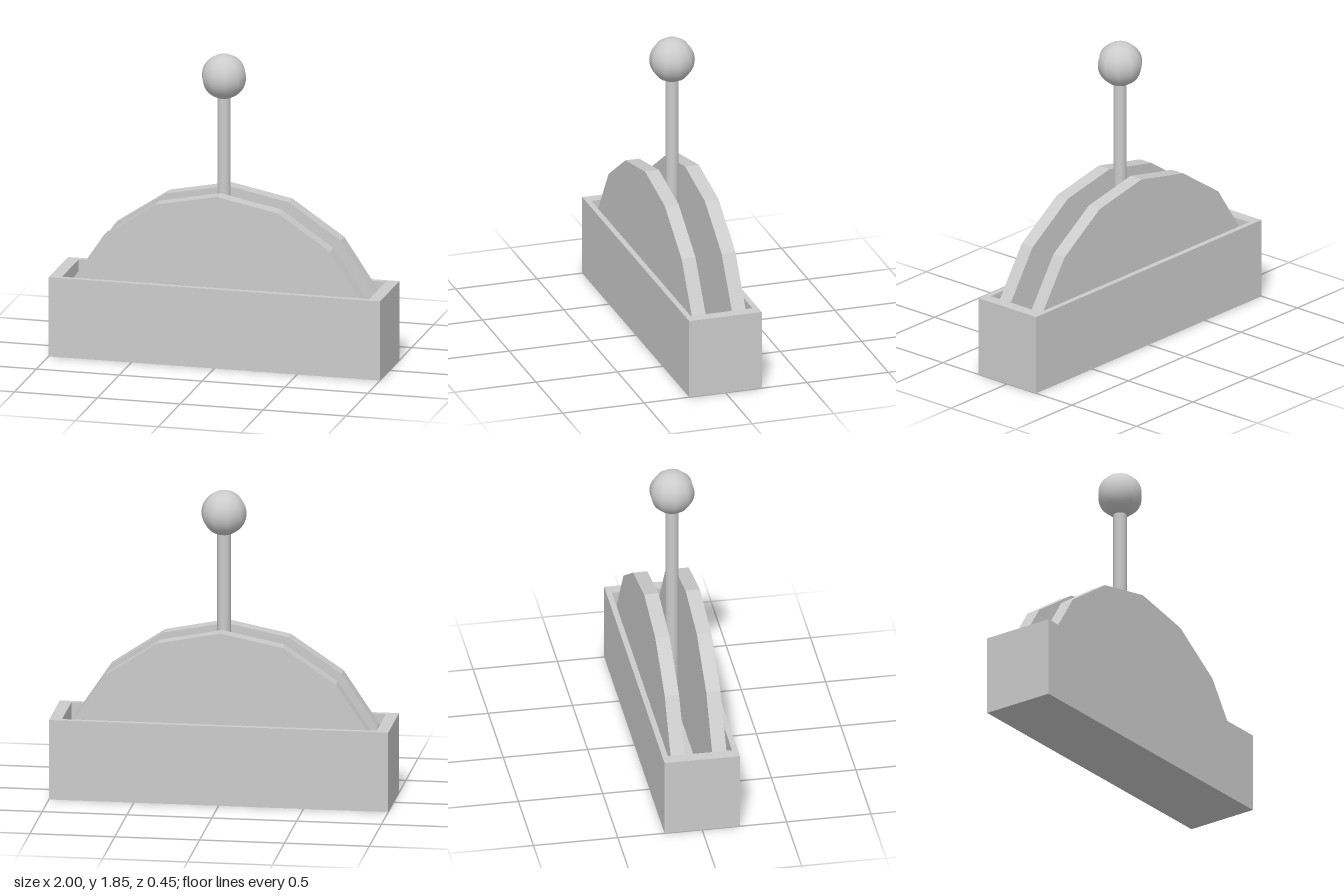
import * as THREE from 'three';

export function createModel() {
  const group = new THREE.Group();
  const material = new THREE.MeshStandardMaterial({ color: 0xcccccc });

  const add = (name, geometry, x = 0, y = 0, z = 0) => {
    const mesh = new THREE.Mesh(geometry, material);
    mesh.name = name;
    mesh.position.set(x, y, z);
    group.add(mesh);
    return mesh;
  };

  const floorY = 0.06, rimY = 0.48;
  const outer = { x: 1, z: 0.223 }, inner = { x: 0.927, z: 0.19 };
  const rectangle = (Type, { x, z }) => new Type([
    new THREE.Vector2(-x, -z), new THREE.Vector2(x, -z),
    new THREE.Vector2(x, z), new THREE.Vector2(-x, z),
  ]);

  // Open tray: a thin floor set inside a hollow rectangular wall
  const wall = rectangle(THREE.Shape, outer);
  wall.holes.push(rectangle(THREE.Path, inner));
  const wallGeometry = new THREE.ExtrudeGeometry(wall, { depth: rimY, bevelEnabled: false });
  wallGeometry.rotateX(-Math.PI / 2);
  add('baseWalls', wallGeometry);
  add('baseFloor', new THREE.BoxGeometry(inner.x * 2, floorY, inner.z * 2), 0, floorY / 2);

  // Pair of faceted half discs guiding the lever
  const radius = 0.965, thickness = 0.085;
  const arc = [];
  for (let i = 0; i <= 8; i++) {
    const a = (i / 8) * Math.PI;
    arc.push(new THREE.Vector2(radius * Math.cos(a), floorY + radius * Math.sin(a)));
  }
  const plateGeometry = new THREE.ExtrudeGeometry(new THREE.Shape(arc), {
    depth: thickness, bevelEnabled: false,
  });
  plateGeometry.translate(0, 0, -thickness / 2);
  add('frontGuidePlate', plateGeometry, 0, 0, 0.123);
  add('backGuidePlate', plateGeometry, 0, 0, -0.123);

  // Lever rod standing on the tray floor
  const rodTop = 1.62;
  add('leverRod', new THREE.CylinderGeometry(0.04, 0.04, rodTop - floorY, 12), 0, (rodTop + floorY) / 2);

  // Round knob, ten sided when seen from above
  add('leverKnob', new THREE.SphereGeometry(0.133, 10, 24), 0, 1.712);

  return group;
}
